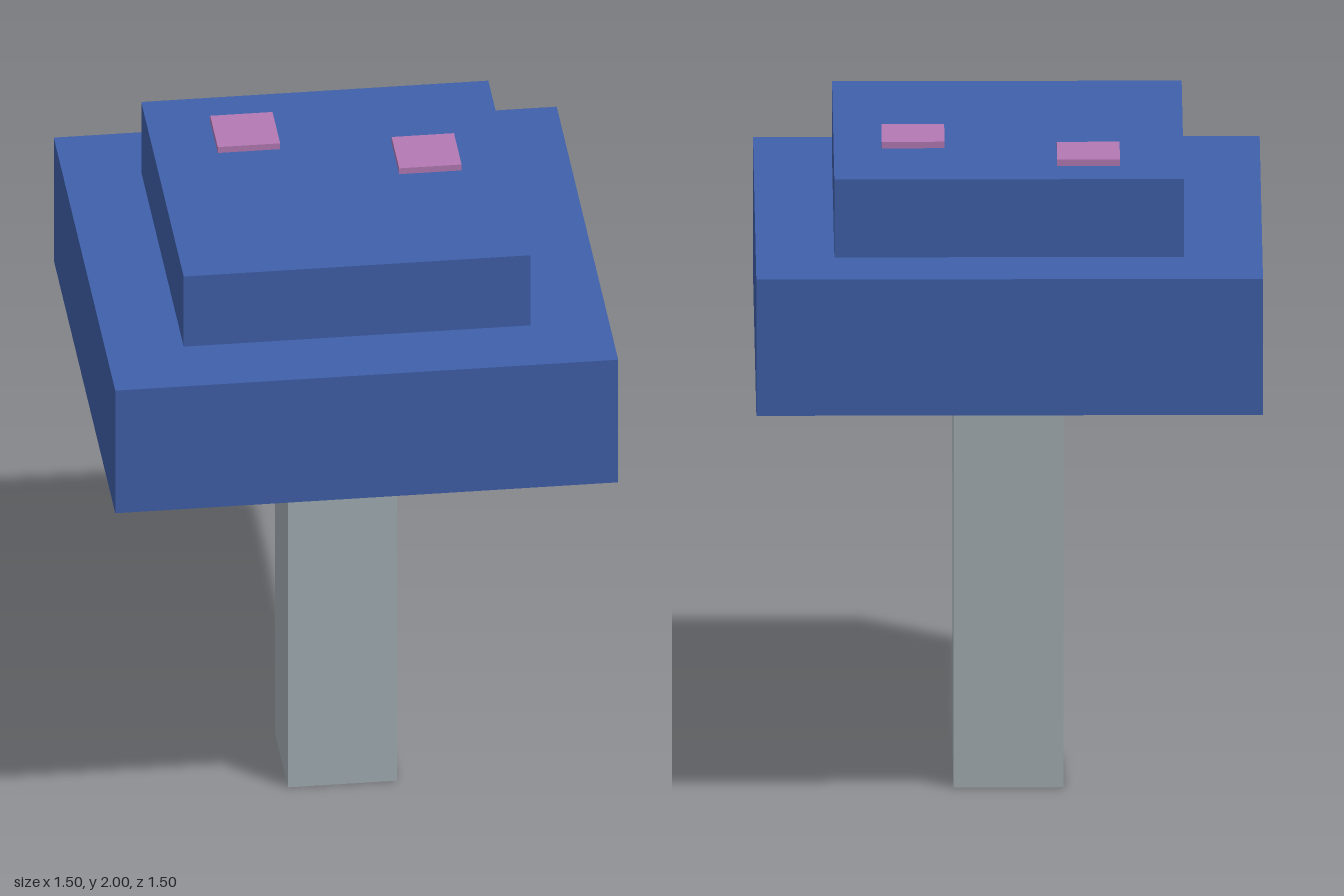
import * as THREE from 'three';

const paint = (name, color) => {
  const material = new THREE.MeshStandardMaterial({ color, side: THREE.DoubleSide });
  material.name = name;
  return material;
};

// Hollow box with no underside, standing on height y
function openBox(name, material, [w, h, d], [x, y, z]) {
  const geometry = new THREE.BoxGeometry(w, h, d);
  const index = Array.from(geometry.index.array);
  index.splice(18, 6); // drop the bottom face
  geometry.setIndex(index);
  geometry.clearGroups();
  geometry.translate(0, h / 2, 0);
  const mesh = new THREE.Mesh(geometry, material);
  mesh.name = name;
  mesh.position.set(x, y, z);
  return mesh;
}

export function createModel() {
  const blue = paint('leaf blue', 0x4060aa);
  const grey = paint('trunk grey', 0xa3aeb3);
  const pink = paint('blossom pink', 0xb47ab4);

  const tree = new THREE.Group();
  tree.name = 'tree';

  // Trunk reaches a little way up inside the hollow canopy
  tree.add(openBox('trunk', grey, [0.325, 1.416, 0.325], [0, 0, 0]));

  // Two stacked canopy tiers
  tree.add(openBox('lowerCanopy', blue, [1.5, 0.42, 1.5], [0, 1.32, 0]));
  tree.add(openBox('upperCanopy', blue, [1.035, 0.24, 1.035], [0, 1.74, 0]));

  // Blossoms: two on the top, two inside the lower canopy
  const blossoms = [
    [-0.236, 1.978, -0.285],
    [0.282, 1.978, -0.096],
    [0.524, 1.57, -0.177],
    [-0.232, 1.57, -0.519],
  ];
  blossoms.forEach((place, i) => {
    tree.add(openBox(`blossom${i + 1}`, pink, [0.186, 0.022, 0.186], place));
  });

  return tree;
}
